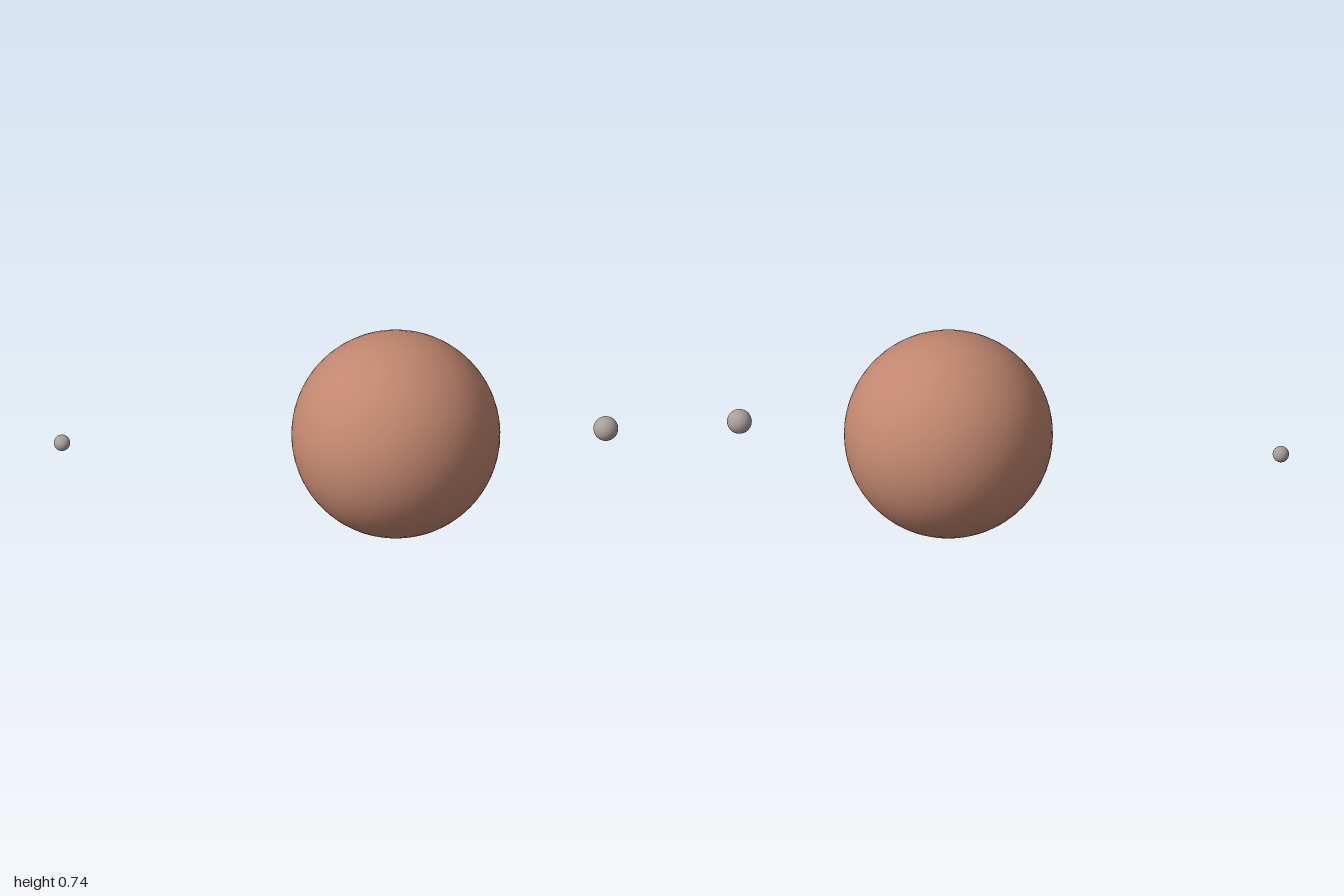
import * as THREE from 'three';

// Smooth ball at height y = 0.37 on the x axis line
function ball(name, x, radius, color, segments) {
  const mesh = new THREE.Mesh(
    new THREE.SphereGeometry(radius, segments, segments / 2),
    new THREE.MeshStandardMaterial({ color })
  );
  mesh.name = name;
  mesh.position.set(x, 0.37, 0);
  return mesh;
}

export function createModel() {
  const group = new THREE.Group();
  group.name = 'planetWithMoons';

  // Large planet with a small moon on either side
  group.add(
    ball('planet', 0.212, 0.37, 0xc1866f, 64),
    ball('largerMoon', 0.956, 0.044, 0xaaa09b, 32),
    ball('smallerMoon', -0.971, 0.029, 0xaaa09b, 32)
  );
  return group;
}
